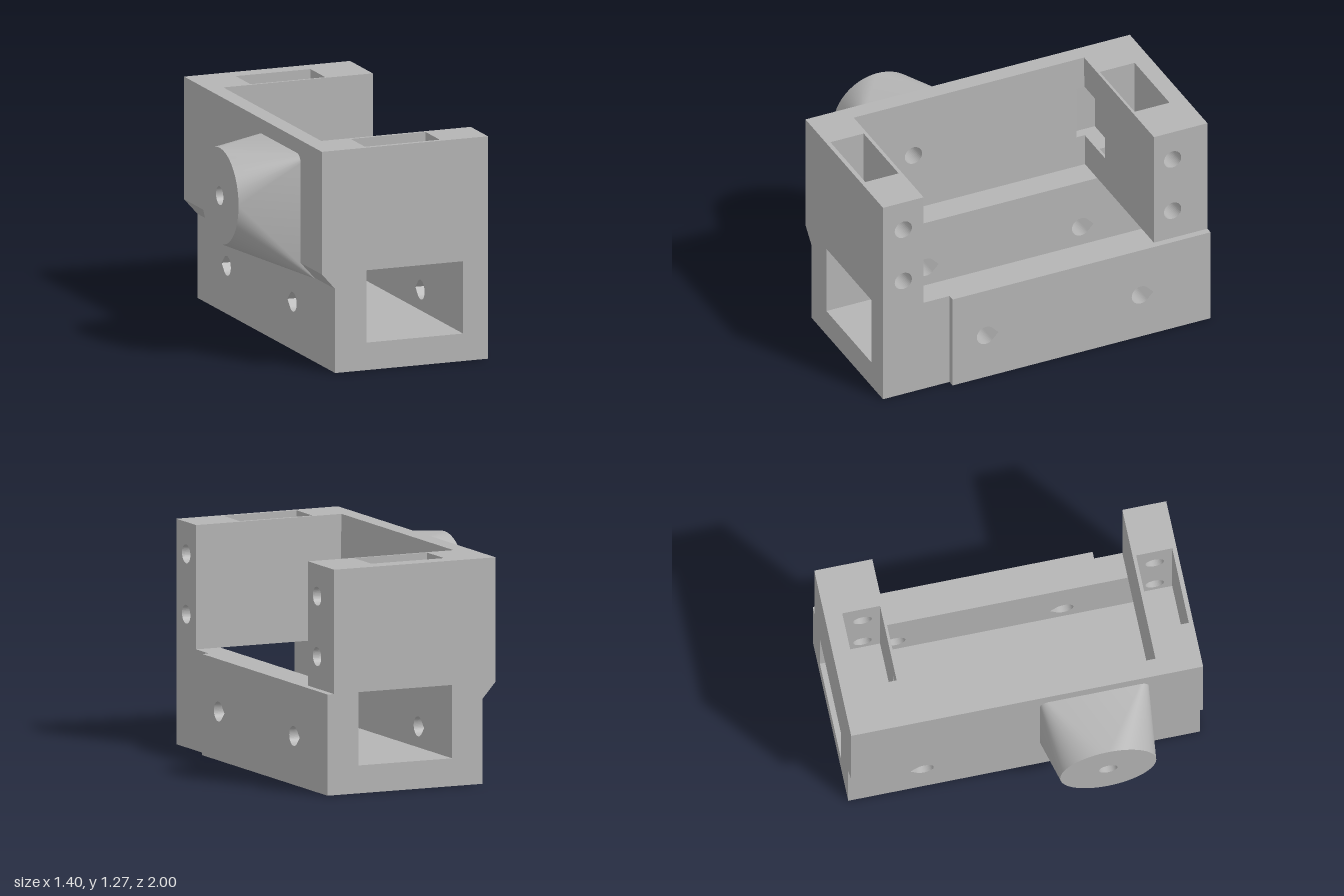
import * as THREE from 'three';
import { toCreasedNormals } from 'three/addons/utils/BufferGeometryUtils.js';

const grey = new THREE.MeshStandardMaterial({ color: 0xb4b4b4, side: THREE.DoubleSide });
grey.name = 'grey plastic';

const rect = (u0, u1, v0, v1) => [[u0, v0], [u1, v0], [u1, v1], [u0, v1]];
const toShape = (pts) => new THREE.Shape(pts.map(([u, v]) => new THREE.Vector2(u, v)));

// Circular hole outline; with a tip it becomes a teardrop pointing to -z
function holePoints(z, y, r, tip = 0) {
  const pts = [];
  const start = tip ? Math.acos(r / tip) : 0, n = 40;
  if (tip) pts.push([z - tip, y]);
  for (let i = 0; i < n + (tip ? 1 : 0); i++) {
    const a = start + (i / n) * (Math.PI * 2 - 2 * start);
    pts.push([z - r * Math.cos(a), y + r * Math.sin(a)]);
  }
  return pts;
}

function extrude(pts, depth, holes = []) {
  const shape = toShape(pts);
  holes.forEach((h) => shape.holes.push(toShape(h)));
  return new THREE.ExtrudeGeometry(shape, { depth, bevelEnabled: false });
}

// Outline in (z, y), extruded along x
function slabX(pts, x0, x1, holes = []) {
  const flip = (list) => list.map(([z, y]) => [-z, y]);
  return extrude(flip(pts), x1 - x0, holes.map(flip)).rotateY(Math.PI / 2).translate(x0, 0, 0);
}

// Outline in (x, z), extruded along y
function slabY(pts, y0, y1) {
  return extrude(pts.map(([x, z]) => [x, -z]), y1 - y0).rotateX(-Math.PI / 2).translate(0, y0, 0);
}

function box(x0, x1, y0, y1, z0, z1) {
  return new THREE.BoxGeometry(x1 - x0, y1 - y0, z1 - z0)
    .translate((x0 + x1) / 2, (y0 + y1) / 2, (z0 + z1) / 2);
}

// Round face blended into a rectangular base
function bossSides(x0, x1, cy, cz, r, y0, y1, z0, z1) {
  const n = 24, pos = [];
  const corners = [[x1, y1, z1], [x1, y1, z0], [x1, y0, z0], [x1, y0, z1]];
  const rim = (i) => {
    const a = (i / (4 * n)) * Math.PI * 2;
    return [x0, cy + r * Math.sin(a), cz + r * Math.cos(a)];
  };
  for (let q = 0; q < 4; q++) {
    pos.push(...rim(q * n), ...corners[(q + 3) % 4], ...corners[q]);
    for (let i = q * n; i < (q + 1) * n; i++) pos.push(...rim(i), ...corners[q], ...rim(i + 1));
  }
  const g = new THREE.BufferGeometry();
  g.setAttribute('position', new THREE.Float32BufferAttribute(pos, 3));
  return toCreasedNormals(g, 0.35);
}

export function createModel() {
  const group = new THREE.Group();
  const add = (name, geometry) => {
    const mesh = new THREE.Mesh(geometry, grey);
    mesh.name = name;
    group.add(mesh);
  };
  const top = 1.27, mid = 0.57, pocketFloor = 0.66;
  const boreY = 0.92, boreZ = 0.385, boreR = 0.053;

  // Lower channel: floor, two drilled walls, step plate and overhang wedge
  const drops = [0.385, -0.57].map((z) => holePoints(z, 0.275, 0.056, 0.077));
  add('channelFloor', box(-0.07, 0.51, 0, 0.157, -1, 1));
  add('rightChannelWall', slabX(rect(-1, 1, 0, mid), -0.26, -0.07, drops));
  add('leftChannelWall', slabX(rect(-1, 1, 0, mid), 0.51, 0.66, drops));
  add('stepPlate', slabX(rect(-1, 0.59, 0, mid), 0.66, 0.7, drops));
  add('overhangWedge', extrude([[-0.34, mid], [-0.26, 0.48], [-0.26, mid]], 2).translate(0, 0, -1));

  // End towers with a top pocket and two screw holes each
  const towers = [
    { name: 'front', z0: 0.75, z1: 1, p0: 0.77, p1: 0.975, hole: 0.875 },
    { name: 'back', z0: -1, z1: -0.67, p0: -0.9, p1: -0.685, hole: -0.785 },
  ];
  for (const { name, z0, z1, p0, p1, hole } of towers) {
    add(name + 'TowerBase', box(-0.34, 0.66, mid, pocketFloor, z0, z1));
    add(name + 'TowerScrewBlock', slabX(rect(z0, z1, pocketFloor, top), 0.38, 0.66,
      [0.75, 1.09].map((y) => holePoints(hole, y, 0.053))));
    const pocket = [[-0.34, z0], [0.38, z0], [0.38, p0], [-0.07, p0],
      [-0.07, p1], [0.38, p1], [0.38, z1], [-0.34, z1]];
    if (name === 'front') {
      add('frontTowerPocket', slabY(pocket, pocketFloor, top));
    } else {
      // The back pocket opens into the cavity through a small window
      add('backTowerPocketLower', slabY(pocket, pocketFloor, 0.76));
      add('backTowerPocketUpper', slabY(pocket, 1.08, top));
      add('backTowerWindowLayer', slabY([[-0.34, z0], [0.38, z0], [0.38, p0], [-0.07, p0],
        [-0.07, -0.76], [-0.29, -0.76], [-0.29, z1], [-0.34, z1]], 0.76, 1.08));
      add('backTowerWindowJamb', box(0.03, 0.38, 0.76, 1.08, p1, z1));
    }
  }

  // Side wall: plain outer layer and notched, slightly leaning inner layer
  const bore = holePoints(boreZ, boreY, boreR);
  add('sideWallOuter', slabX(rect(-0.67, 0.75, mid, top), -0.34, -0.29, [bore]));
  const inner = slabX([[-0.67, mid], [0.75, mid], [0.75, top], [-0.67, top],
    [-0.67, 1.08], [-0.62, 1.08], [-0.62, 0.76], [-0.67, 0.76]], -0.29, -0.24, [bore]);
  const p = inner.attributes.position;
  for (let i = 0; i < p.count; i++) {
    if (p.getX(i) > -0.26) p.setX(i, -0.24 + 0.012 * (top - p.getY(i)) / (top - mid));
  }
  inner.computeVertexNormals();
  add('sideWallInner', inner);

  // Round boss with a bore through to the cavity
  const r = 0.273;
  add('bossSides', bossSides(-0.7, -0.26, boreY, boreZ, r, 0.475, 1.185, 0.065, 0.698));
  const face = new THREE.Shape().absarc(boreZ, boreY, r, 0, Math.PI * 2);
  face.holes.push(new THREE.Path().absarc(boreZ, boreY, boreR, 0, Math.PI * 2));
  add('bossFace', new THREE.ShapeGeometry(face, 48).rotateY(-Math.PI / 2).translate(-0.7, 0, 0));
  add('bossBore', new THREE.CylinderGeometry(boreR, boreR, 0.36, 40, 1, true)
    .rotateZ(Math.PI / 2).translate(-0.52, boreY, boreZ));

  return group;
}
